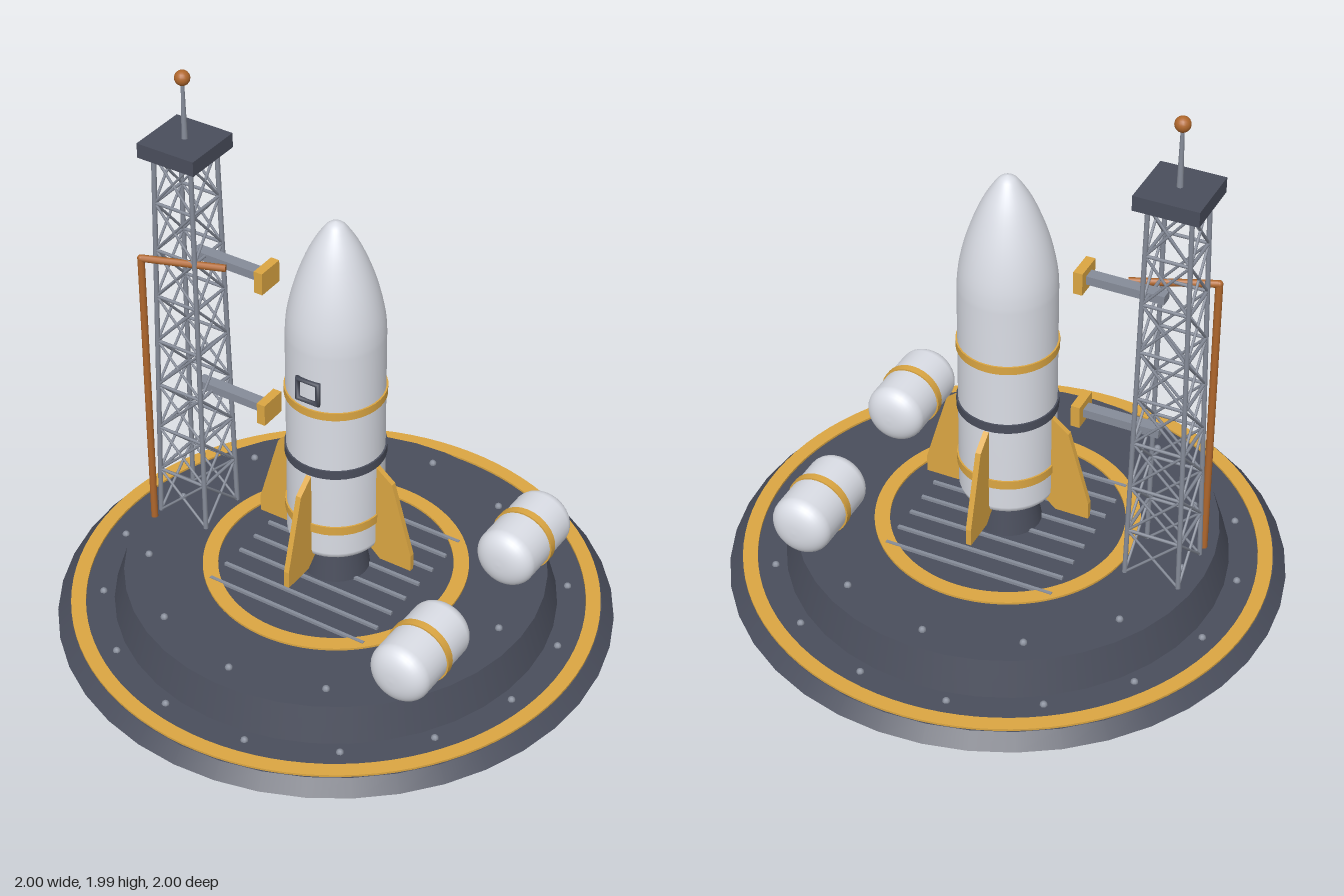
import * as THREE from 'three';

const mat = (name, color) => Object.assign(new THREE.MeshStandardMaterial({ color }), { name });

export function createModel() {
  const dark = mat('dark slate', 0x4a4e5c);
  const yellow = mat('safety yellow', 0xdba642);
  const white = mat('hull white', 0xdadde5);
  const steel = mat('steel grey', 0x868c99);
  const copper = mat('copper', 0xb0672c);

  const model = new THREE.Group();
  model.name = 'launchPad';
  const group = (name, parent = model) => {
    const g = new THREE.Group();
    g.name = name;
    parent.add(g);
    return g;
  };
  const add = (parent, name, geo, material, x = 0, y = 0, z = 0) => {
    const m = new THREE.Mesh(geo, material);
    m.name = name;
    m.position.set(x, y, z);
    parent.add(m);
    return m;
  };
  const cyl = (rTop, rBottom, h, n = 32) => new THREE.CylinderGeometry(rTop, rBottom, h, n);
  const V = (x, y, z) => new THREE.Vector3(x, y, z);
  // Round bar between two points
  const strut = (parent, name, a, b, r, material, n = 6) => {
    const d = b.clone().sub(a);
    const m = add(parent, name, cyl(r, r, d.length(), n), material);
    m.position.copy(a).add(b).multiplyScalar(0.5);
    m.quaternion.setFromUnitVectors(V(0, 1, 0), d.normalize());
    return m;
  };
  // Flat ring lying on a deck
  const ring = (parent, name, outer, inner, y, h) => {
    const s = new THREE.Shape().absarc(0, 0, outer, 0, Math.PI * 2);
    s.holes.push(new THREE.Path().absarc(0, 0, inner, 0, Math.PI * 2, true));
    const geo = new THREE.ExtrudeGeometry(s, { depth: h, bevelEnabled: false, curveSegments: 48 });
    add(parent, name, geo.rotateX(-Math.PI / 2), yellow, 0, y, 0);
  };

  // Two-step pad
  const pad = group('pad');
  add(pad, 'baseStep', cyl(0.955, 1, 0.05, 40), dark, 0, 0.025, 0);
  add(pad, 'upperStep', cyl(0.755, 0.795, 0.13, 40), dark, 0, 0.115, 0);
  ring(pad, 'outerStripe', 0.95, 0.897, 0.05, 0.008);
  ring(pad, 'innerStripe', 0.475, 0.42, 0.18, 0.008);
  for (let i = 0; i < 8; i++) {
    add(pad, 'grateBar', new THREE.BoxGeometry(0.64, 0.012, 0.012), steel, 0, 0.185, -0.322 + i * 0.092);
  }
  const bolts = (count, radius, y, offset) => {
    for (let i = 0; i < count; i++) {
      const a = ((i + offset) / count) * Math.PI * 2;
      add(pad, 'bolt', new THREE.SphereGeometry(0.014, 8, 6), steel, Math.cos(a) * radius, y, Math.sin(a) * radius);
    }
  };
  bolts(12, 0.67, 0.183, 0);
  bolts(16, 0.835, 0.05, 0.5);

  // Rocket hull, nozzle and bands
  const rocket = group('rocket');
  const nose = new THREE.SplineCurve([
    [0.172, 1.18], [0.167, 1.25], [0.149, 1.34], [0.121, 1.43], [0.083, 1.52], [0.04, 1.59], [0.018, 1.609], [0, 1.615],
  ].map(p => new THREE.Vector2(...p))).getPoints(20);
  nose[nose.length - 1].x = 0;
  const hull = [[0, 0.325], [0.15, 0.325], [0.165, 0.335], [0.172, 0.355], [0.172, 0.7], [0.172, 1.0]]
    .map(p => new THREE.Vector2(...p));
  add(rocket, 'hull', new THREE.LatheGeometry([...hull, ...nose], 40), white);
  add(rocket, 'nozzle', cyl(0.095, 0.122, 0.15, 24), dark, 0, 0.26, 0);
  for (const [y, h, m] of [[0.46, 0.034, yellow], [0.705, 0.034, dark], [0.952, 0.03, yellow]]) {
    add(rocket, 'hullBand', cyl(0.178, 0.178, h, 40), m, 0, y, 0);
  }

  // Square window frame
  const frame = new THREE.TorusGeometry(0.056, 0.011, 8, 4).rotateZ(Math.PI / 4);
  add(rocket, 'windowFrame', frame, dark, 0, 1.038, 0.173);

  // Four fins
  const finShape = new THREE.Shape([
    [0.14, 0.33], [0.19, 0.285], [0.315, 0.285], [0.315, 0.35], [0.235, 0.63], [0.172, 0.68], [0.14, 0.68],
  ].map(p => new THREE.Vector2(...p)));
  const finGeo = new THREE.ExtrudeGeometry(finShape, { depth: 0.02, bevelEnabled: false }).translate(0, 0, -0.01);
  for (let i = 0; i < 4; i++) add(rocket, 'fin', finGeo, yellow).rotation.y = (i * Math.PI) / 2;

  // Two fuel tanks lying along z
  const half = 0.187, r = 0.112, cap = 0.065;
  const tankEnd = [];
  for (let i = 0; i <= 10; i++) {
    const a = (i / 10) * Math.PI / 2;
    tankEnd.push(new THREE.Vector2(i ? r * Math.pow(Math.sin(a), 0.8) : 0, -half + cap * (1 - Math.cos(a))));
  }
  const tankProfile = [...tankEnd, ...tankEnd.map(p => new THREE.Vector2(p.x, -p.y)).reverse()];
  for (const s of [-1, 1]) {
    const tank = group('fuelTank');
    tank.position.set(0.565, 0.297, s * 0.353);
    tank.rotation.x = Math.PI / 2;
    add(tank, 'tankShell', new THREE.LatheGeometry(tankProfile, 32), white);
    add(tank, 'tankBand', cyl(0.118, 0.118, 0.028, 32), yellow);
  }

  // Lattice tower
  const tower = group('tower');
  tower.position.x = -0.597;
  const y0 = 0.18, y1 = 1.685, bays = 8;
  const corner = (k, t) => {
    const w = THREE.MathUtils.lerp(0.1, 0.075, t);
    const [sx, sz] = [[1, 1], [1, -1], [-1, -1], [-1, 1]][k % 4];
    return V(sx * w, THREE.MathUtils.lerp(y0, y1, t), sz * w);
  };
  for (let k = 0; k < 4; k++) {
    strut(tower, 'towerLeg', corner(k, 0), corner(k, 1), 0.009, steel, 8);
    for (let i = 0; i < bays; i++) {
      const a = i / bays, b = (i + 1) / bays;
      strut(tower, 'crossBrace', corner(k, a), corner(k + 1, b), 0.005, steel);
      strut(tower, 'crossBrace', corner(k + 1, a), corner(k, b), 0.005, steel);
      strut(tower, 'levelBar', corner(k, b), corner(k + 1, b), 0.006, steel);
    }
  }
  add(tower, 'topPlatform', new THREE.BoxGeometry(0.228, 0.055, 0.228), dark, 0, 1.707, 0);
  add(tower, 'mast', cyl(0.006, 0.011, 0.22, 10), steel, 0, 1.84, 0);
  add(tower, 'beacon', new THREE.SphereGeometry(0.027, 16, 12), copper, 0, 1.962, 0);

  // Service arms with clamps
  for (const y of [0.752, 1.3]) {
    const arm = group('serviceArm');
    add(arm, 'armBeam', new THREE.BoxGeometry(0.285, 0.032, 0.044), steel, -0.427, y, 0);
    add(arm, 'armClamp', new THREE.BoxGeometry(0.033, 0.084, 0.104), yellow, -0.277, y, 0);
  }

  // Fuel pipe up the tower and across to the upper arm
  const pipe = group('fuelPipe');
  const elbow = V(-0.695, 1.303, 0.143);
  strut(pipe, 'pipeRiser', V(-0.695, 0.18, 0.143), elbow, 0.013, copper, 10);
  strut(pipe, 'pipeReach', elbow, V(-0.42, 1.3, 0.035), 0.013, copper, 10);
  add(pipe, 'pipeElbow', new THREE.SphereGeometry(0.0135, 10, 8), copper).position.copy(elbow);

  return model;
}
